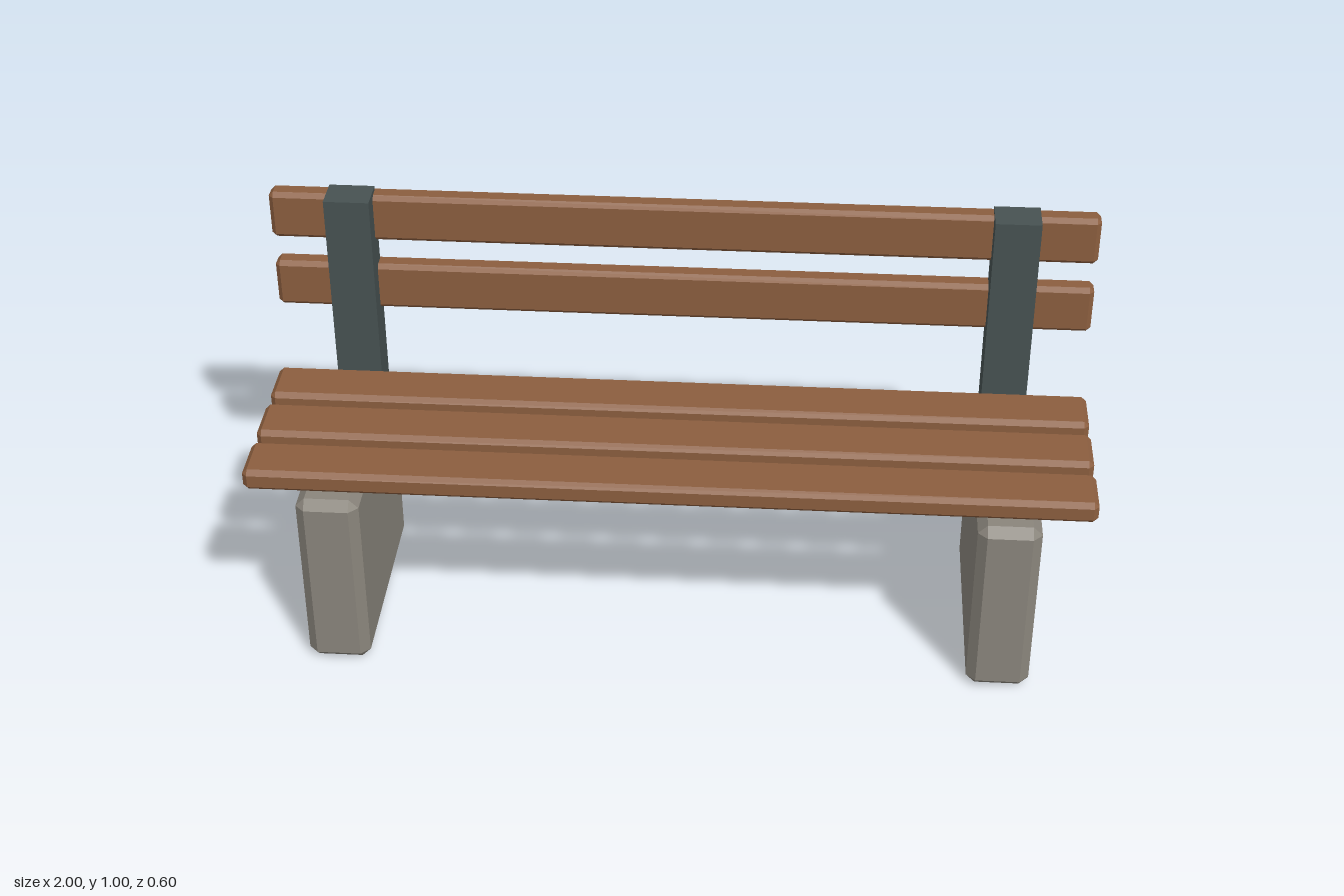
import * as THREE from 'three';
import { ConvexGeometry } from 'three/addons/geometries/ConvexGeometry.js';

// Box with flat chamfers on every edge
function chamferBox(w, h, d, c) {
  const points = [];
  for (const sx of [-1, 1]) for (const sy of [-1, 1]) for (const sz of [-1, 1]) {
    const x = w / 2, y = h / 2, z = d / 2;
    points.push(
      new THREE.Vector3(sx * x, sy * (y - c), sz * (z - c)),
      new THREE.Vector3(sx * (x - c), sy * y, sz * (z - c)),
      new THREE.Vector3(sx * (x - c), sy * (y - c), sz * z)
    );
  }
  return new ConvexGeometry(points);
}

export function createModel() {
  const wood = new THREE.MeshStandardMaterial({ name: 'wood', color: 0x8b5e3f });
  const concrete = new THREE.MeshStandardMaterial({ name: 'concrete', color: 0x8a857c });
  const steel = new THREE.MeshStandardMaterial({ name: 'darkSteel', color: 0x475252 });

  const bench = new THREE.Group();
  bench.name = 'bench';
  const add = (name, geometry, material, x, y, z) => {
    const mesh = new THREE.Mesh(geometry, material);
    mesh.name = name;
    mesh.position.set(x, y, z);
    bench.add(mesh);
  };

  // Concrete legs and back posts, one pair at each end
  const legGeometry = chamferBox(0.15, 0.468, 0.554, 0.022);
  const postGeometry = new THREE.BoxGeometry(0.11, 0.61, 0.087);
  for (const [side, x] of [['left', 0.8], ['right', -0.8]]) {
    add(`${side}Leg`, legGeometry, concrete, x, 0.234, 0.026);
    add(`${side}BackPost`, postGeometry, steel, x, 0.692, -0.241);
  }

  // Three seat slats
  const seatGeometry = chamferBox(2, 0.055, 0.133, 0.012);
  [0.204, 0.037, -0.13].forEach((z, i) => add(`seatSlat${i + 1}`, seatGeometry, wood, 0, 0.502, z));

  // Two backrest slats behind the posts
  const backGeometry = chamferBox(2, 0.122, 0.054, 0.011);
  [0.736, 0.926].forEach((y, i) => add(`backSlat${i + 1}`, backGeometry, wood, 0, y, -0.274));

  return bench;
}
